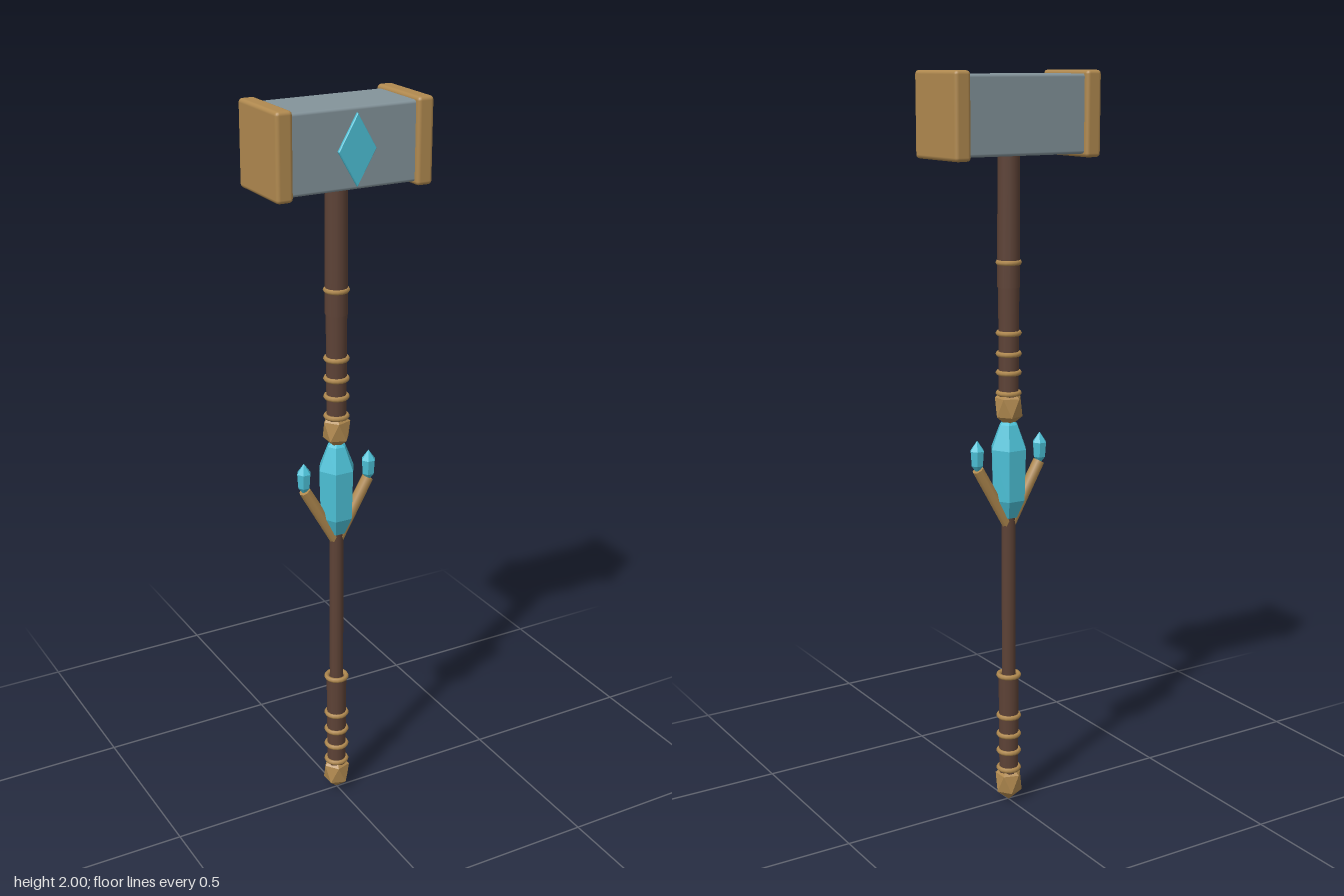
import * as THREE from 'three';
import { RoundedBoxGeometry } from 'three/addons/geometries/RoundedBoxGeometry.js';

export function createModel() {
  const material = (name, color) => {
    const m = new THREE.MeshStandardMaterial({ color });
    m.name = name;
    return m;
  };
  const wood = material('dark wood', 0x5d4236);
  const bronze = material('bronze', 0xb0894f);
  const steel = material('grey steel', 0x83939a);
  const crystal = material('cyan crystal', 0x4cc0d6);

  const model = new THREE.Group();
  model.name = 'warHammer';
  const body = new THREE.Group();
  body.name = 'hammerBody';
  body.position.z = -0.003;
  model.add(body);

  const add = (name, geometry, mat, x = 0, y = 0, z = 0) => {
    const mesh = new THREE.Mesh(geometry, mat);
    mesh.name = name;
    mesh.position.set(x, y, z);
    body.add(mesh);
    return mesh;
  };
  // Flat-faced solid turned around y, from [radius, y] pairs listed bottom to top
  const faceted = (profile, sides) => {
    const points = profile.map(([r, y]) => new THREE.Vector2(r, y));
    const g = new THREE.LatheGeometry(points, sides, Math.PI / 2).toNonIndexed();
    g.computeVertexNormals();
    return g;
  };
  const rod = (name, r0, r1, y0, y1) =>
    add(name, new THREE.CylinderGeometry(r1, r0, y1 - y0, 12), wood, 0, (y0 + y1) / 2);

  // Head block with bronze end caps
  add('headBlock', new RoundedBoxGeometry(0.36, 0.2, 0.18, 2, 0.008), steel, 0, 1.89);
  for (const s of [1, -1]) {
    add(s > 0 ? 'leftCap' : 'rightCap',
      new RoundedBoxGeometry(0.045, 0.218, 0.207, 2, 0.01), bronze, s * 0.193, 1.89);
  }

  // Diamond inlay standing just off the front face
  const diamond = new THREE.Shape();
  diamond.moveTo(0, -0.086);
  diamond.lineTo(0.05, 0);
  diamond.lineTo(0, 0.086);
  diamond.lineTo(-0.05, 0);
  diamond.closePath();
  add('frontDiamond', new THREE.ExtrudeGeometry(diamond, {
    depth: 0.005, bevelEnabled: true, bevelThickness: 0.002, bevelSize: 0.002, bevelSegments: 1,
  }), crystal, 0, 1.89, 0.1005);

  // Wooden shafts and grips
  rod('neckShaft', 0.03, 0.029, 1.45, 1.8);
  rod('upperGrip', 0.026, 0.028, 1.12, 1.5);
  rod('lowerShaft', 0.019, 0.019, 0.3, 0.83);
  rod('lowerGrip', 0.026, 0.028, 0.06, 0.375);

  // Bronze binding rings
  for (const y of [0.375, 0.255, 0.2, 0.15, 0.098, 1.515, 1.33, 1.275, 1.225, 1.17]) {
    const ring = new THREE.TorusGeometry(0.028, 0.007, 6, 16);
    ring.rotateX(Math.PI / 2);
    add('bindingRing', ring, bronze, 0, y);
  }

  // Faceted knobs at the ends of both grips
  for (const [name, y] of [['pommel', 0.056], ['collar', 1.132]]) {
    const knob = new THREE.IcosahedronGeometry(1, 0);
    knob.rotateZ(Math.atan(2 / (1 + Math.sqrt(5))));
    knob.scale(0.041, 0.056, 0.041);
    knob.computeVertexNormals();
    add(name, knob, bronze, 0, y);
  }

  // Large central crystal
  add('mainCrystal', faceted(
    [[0, 0.82], [0.025, 0.83], [0.048, 0.88], [0.052, 1.02], [0.026, 1.085], [0, 1.105]], 6), crystal);

  // Prongs that flare from the shaft, each tipped with a small crystal
  const up = new THREE.Vector3(0, 1, 0);
  for (const s of [1, -1]) {
    const start = new THREE.Vector3(0, 0.805, 0);
    const end = new THREE.Vector3(s * 0.096, 0.972, 0);
    const along = end.clone().sub(start);
    const mid = start.clone().add(end).multiplyScalar(0.5);
    const prong = add(s > 0 ? 'leftProng' : 'rightProng',
      new THREE.CylinderGeometry(0.016, 0.017, along.length(), 8), bronze, mid.x, mid.y, 0);
    prong.quaternion.setFromUnitVectors(up, along.normalize());
    add(s > 0 ? 'leftSmallCrystal' : 'rightSmallCrystal', faceted(
      [[0, -0.046], [0.017, -0.024], [0.02, 0.016], [0, 0.044]], 6), crystal, s * 0.098, 1.008);
  }
  return model;
}
